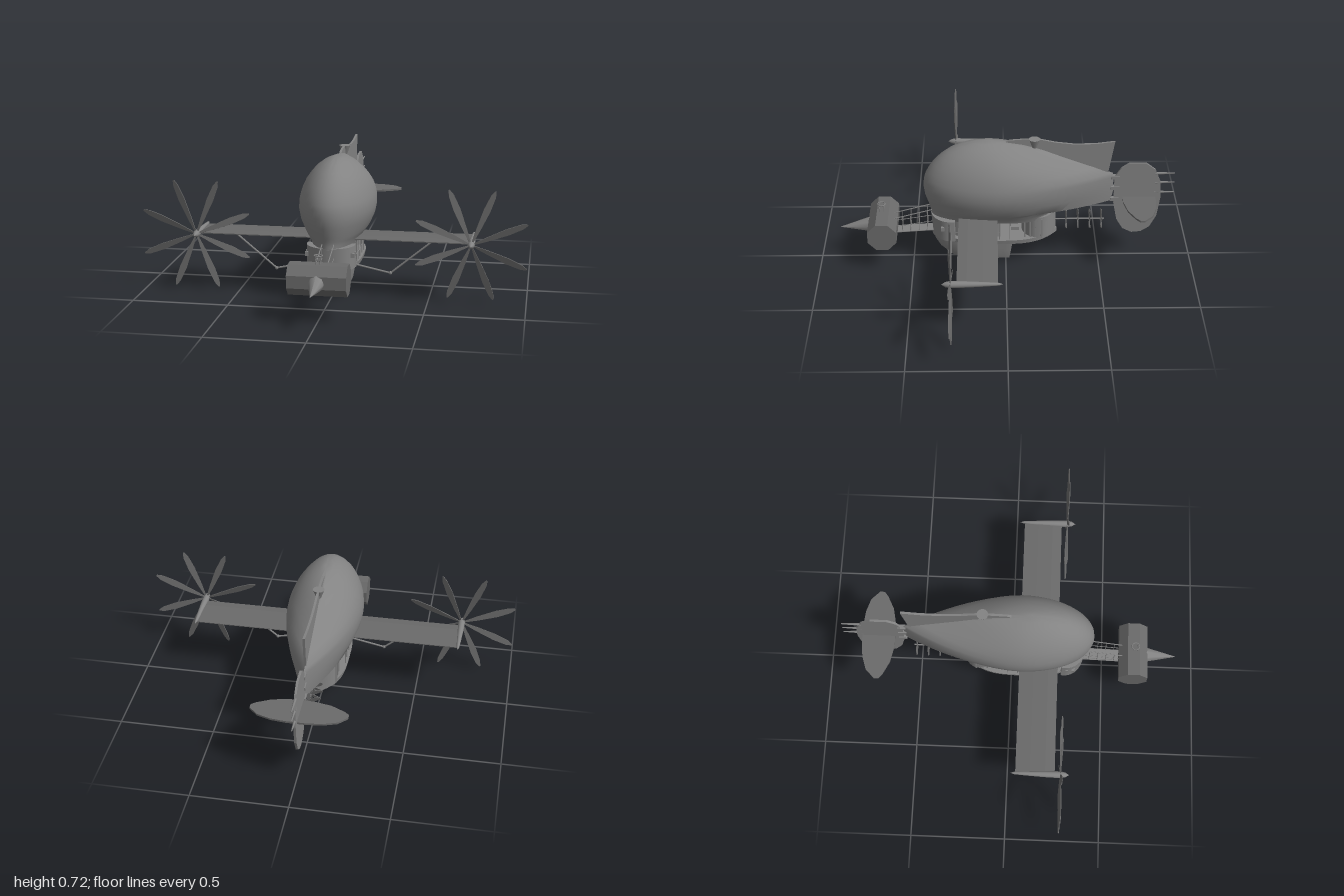
import * as THREE from 'three';
import { toCreasedNormals } from 'three/addons/utils/BufferGeometryUtils.js';

const hullGrey = new THREE.MeshStandardMaterial({ color: 0x838383 });
const darkGrey = new THREE.MeshStandardMaterial({ color: 0x6a6a6a });

function add(parent, name, geo, x = 0, y = 0, z = 0, mat = hullGrey) {
  const m = new THREE.Mesh(geo, mat);
  m.name = name;
  m.position.set(x, y, z);
  parent.add(m);
  return m;
}

function bar(parent, name, a, b, r, r2 = r) {
  const p = new THREE.Vector3(...a), q = new THREE.Vector3(...b);
  const m = add(parent, name, new THREE.CylinderGeometry(r2, r, p.distanceTo(q), 8));
  m.position.copy(p).add(q).multiplyScalar(0.5);
  m.quaternion.setFromUnitVectors(new THREE.Vector3(0, 1, 0), q.sub(p).normalize());
  return m;
}

// Plan outline at height y: elliptical nose, tail tapered by power p, or square when p is 0
function outline([y, zf, zb, w, zc, p], n) {
  return Array.from({ length: n }, (_, i) => {
    const t = (i / n) * Math.PI * 2, c = Math.cos(t), s = Math.sin(t);
    if (c >= 0) return [w * s, y, zc + (zf - zc) * c];
    if (p) return [w * Math.sign(s) * (1 - Math.pow(-c, p)), y, zc + (zc - zb) * c];
    const k = Math.min(1, -c * 1.3);
    return [k < 1 ? w * Math.sign(s) : w * s / 0.639, y, zc - (zc - zb) * k];
  });
}

// Stack of plan outlines joined bottom to top, capped at both ends
function loft(slices, n = 48, crease = 0.6) {
  const pos = [], idx = [], last = (slices.length - 1) * n;
  slices.forEach(s => outline(s, n).forEach(p => pos.push(...p)));
  for (let i = 0; i < slices.length - 1; i++)
    for (let j = 0; j < n; j++) {
      const a = i * n + j, b = i * n + (j + 1) % n;
      idx.push(a, b, b + n, a, b + n, a + n);
    }
  for (let j = 1; j < n - 1; j++) idx.push(0, j + 1, j, last, last + j, last + j + 1);
  const g = new THREE.BufferGeometry();
  g.setAttribute('position', new THREE.Float32BufferAttribute(pos, 3));
  g.setIndex(idx);
  return toCreasedNormals(g, crease);
}

// Plate in the XY plane, centred on its thickness
function plate(points, depth) {
  const shape = new THREE.Shape(points.map(p => new THREE.Vector2(...p)));
  return new THREE.ExtrudeGeometry(shape, { depth, bevelEnabled: false }).translate(0, 0, -depth / 2);
}
const sidePlate = (pts, d) => plate(pts, d).rotateY(-Math.PI / 2);
const flatPlate = (pts, d) => plate(pts, d).rotateX(Math.PI / 2);

function propeller(name, count, radius, width, twist, offset) {
  const g = new THREE.Group();
  g.name = name;
  const pts = [[0.06, 0.12], [0.3, 0.32], [0.65, 0.5], [0.9, 0.38], [1, 0.1]];
  const outlinePts = [...pts.map(([r, w]) => [r * radius, -w * width]),
    ...pts.map(([r, w]) => [r * radius, w * width]).reverse()];
  for (let i = 0; i < count; i++) {
    const arm = new THREE.Group();
    arm.name = 'bladeArm';
    arm.rotation.z = offset + (i / count) * Math.PI * 2;
    add(arm, 'blade', plate(outlinePts, 0.004), 0, 0, 0, darkGrey).rotation.x = twist;
    g.add(arm);
  }
  return g;
}

export function createModel() {
  const root = new THREE.Group();
  root.name = 'airship';

  // Balloon body, tapering to a vertical tail edge
  add(root, 'balloon', loft([
    [0.28, 0.4, -0.27, 0.125, 0.08, 4], [0.305, 0.4, -0.275, 0.135, 0.08, 4],
    [0.325, 0.404, -0.29, 0.15, 0.07, 3.5], [0.338, 0.408, -0.34, 0.16, 0.06, 2.6],
    [0.345, 0.41, -0.56, 0.165, 0.05, 1.8], [0.4, 0.428, -0.57, 0.19, 0.05, 1.72],
    [0.45, 0.435, -0.57, 0.2, 0.05, 1.72], [0.49, 0.432, -0.57, 0.198, 0.05, 1.72],
    [0.515, 0.425, -0.565, 0.193, 0.05, 1.72], [0.55, 0.408, -0.48, 0.182, 0.05, 1.75],
    [0.59, 0.38, -0.375, 0.163, 0.06, 1.8], [0.625, 0.345, -0.285, 0.138, 0.07, 1.8],
    [0.66, 0.3, -0.2, 0.108, 0.08, 1.8], [0.69, 0.235, -0.1, 0.068, 0.09, 1.9],
    [0.707, 0.17, 0, 0.033, 0.1, 2], [0.714, 0.11, 0.07, 0.008, 0.1, 2]], 64, 0.9));

  // Gondola: closed nose, cabin, rear drum, deck and keel
  add(root, 'gondolaNose', loft([[0.17, 0.39, 0.27, 0.125, 0.29, 0], [0.29, 0.4, 0.27, 0.125, 0.29, 0]]));
  add(root, 'cabin', loft([[0.17, 0.32, 0.03, 0.095, 0.2, 0], [0.3, 0.32, 0.03, 0.095, 0.2, 0]]));
  add(root, 'rearDrum', loft([[0.17, -0.085, -0.268, 0.1, -0.16, 3], [0.3, -0.085, -0.268, 0.1, -0.16, 3]]));
  add(root, 'deck', loft([[0.153, 0.395, -0.275, 0.13, 0.1, 4], [0.178, 0.395, -0.275, 0.135, 0.1, 4]]));
  add(root, 'deckUnderside', new THREE.SphereGeometry(1, 20, 12).scale(0.05, 0.018, 0.07), 0, 0.155, -0.14);
  add(root, 'deckLocker', new THREE.BoxGeometry(0.06, 0.02, 0.045), 0, 0.188, -0.05);
  add(root, 'keel', loft([
    [0.022, 0.27, -0.02, 0.066, 0.15, 0], [0.035, 0.31, -0.021, 0.07, 0.15, 0],
    [0.075, 0.355, -0.027, 0.076, 0.15, 0], [0.12, 0.38, -0.034, 0.082, 0.15, 0],
    [0.16, 0.39, -0.04, 0.087, 0.15, 0]]));
  add(root, 'keelSkid', new THREE.SphereGeometry(1, 16, 10).scale(0.015, 0.02, 0.06), 0, 0.02, 0.24);

  for (const s of [-1, 1]) {
    // Balcony posts and handrail along the deck edge
    for (const z of [0.25, 0.21, 0.165, 0.1, 0.035, -0.02])
      bar(root, 'balconyPost', [s * 0.122, 0.17, z], [s * 0.122, 0.295, z], 0.002);
    bar(root, 'handrail', [s * 0.122, 0.225, 0.29], [s * 0.122, 0.225, 0.03], 0.002);
    for (let i = 0; i < 4; i++)
      add(root, 'drumPilaster', new THREE.BoxGeometry(0.006, 0.12, 0.008), s * 0.098, 0.23, -0.1 - i * 0.03);
    for (let i = 0; i < 2; i++)
      add(root, 'window', new THREE.BoxGeometry(0.02, 0.022, 0.016), s * 0.118, 0.245, 0.335 - i * 0.035);

    // Cambered wing, bracing strut and engine
    const wing = new THREE.Group();
    wing.name = s > 0 ? 'leftWing' : 'rightWing';
    root.add(wing);
    add(wing, 'wingPanel', sidePlate([[0.25, 0.305], [0.25, 0.31], [0.2, 0.315], [0.12, 0.314], [0.045, 0.307],
      [0.045, 0.303], [0.12, 0.307], [0.2, 0.306]], 0.62), s * 0.405, 0, 0, darkGrey);
    bar(wing, 'outerStrut', [s * 0.51, 0.305, 0.23], [s * 0.3, 0.13, 0.23], 0.005);
    bar(wing, 'innerStrut', [s * 0.3, 0.13, 0.23], [s * 0.12, 0.168, 0.23], 0.005);
    add(wing, 'strutJoint', new THREE.SphereGeometry(0.009, 10, 8), s * 0.3, 0.13, 0.23);
    const nacelle = [[0, 0.02], [0.007, 0.04], [0.011, 0.1], [0.016, 0.2], [0.018, 0.28], [0.013, 0.305], [0, 0.325]];
    add(wing, 'engine', new THREE.LatheGeometry(nacelle.map(p => new THREE.Vector2(...p)), 16).rotateX(Math.PI / 2), s * 0.715, 0.31, 0);
    const prop = propeller('wingPropeller', 8, 0.305, 0.036, s * 0.25, Math.PI / 8);
    prop.position.set(s * 0.715, 0.31, 0.28);
    wing.add(prop);

    // Bridge truss out to the forward drum
    bar(root, 'bridgeUpperRail', [s * 0.03, 0.312, 0.39], [s * 0.03, 0.255, 0.6], 0.003);
    bar(root, 'bridgeLowerRail', [s * 0.03, 0.185, 0.38], [s * 0.03, 0.17, 0.6], 0.004);
    bar(root, 'bridgeMidRail', [s * 0.03, 0.24, 0.39], [s * 0.03, 0.205, 0.6], 0.002);
    for (let i = 0; i < 4; i++) {
      const z = 0.42 + i * 0.045;
      bar(root, 'bridgePost', [s * 0.03, 0.183 - i * 0.003, z], [s * 0.03, 0.304 - i * 0.0122, z], 0.002);
    }
    // Slender legs of the lookout ring on the drum
    for (const dz of [-1, 1])
      bar(root, 'lookoutLeg', [s * 0.008, 0.28, 0.664 + dz * 0.01], [s * 0.014, 0.33, 0.664 + dz * 0.014], 0.002);
  }
  add(root, 'lookoutRing', new THREE.TorusGeometry(0.02, 0.003, 6, 20).rotateX(Math.PI / 2), 0, 0.33, 0.664);
  for (let i = 0; i < 4; i++)
    add(root, 'bridgeRung', new THREE.BoxGeometry(0.06, 0.006, 0.008), 0, 0.182 - i * 0.003, 0.42 + i * 0.045);
  add(root, 'bridgeFloor', new THREE.BoxGeometry(0.06, 0.004, 0.22), 0, 0.178, 0.49).rotation.x = 0.068;

  // Forward drum with nose spike
  const drum = new THREE.CylinderGeometry(0.083, 0.083, 0.295, 8).rotateY(Math.PI / 8).rotateZ(Math.PI / 2);
  add(root, 'forwardDrum', toCreasedNormals(drum, 0.3), 0, 0.21, 0.658, darkGrey);
  bar(root, 'noseSpike', [0, 0.206, 0.72], [0, 0.187, 0.89], 0.043, 0.001);

  // Dorsal sail and its small funnel
  add(root, 'dorsalSail', sidePlate([[0.02, 0.695], [-0.02, 0.716], [-0.1, 0.722], [-0.18, 0.72], [-0.26, 0.702],
    [-0.36, 0.69], [-0.47, 0.692], [-0.57, 0.705], [-0.54, 0.52], [-0.35, 0.57], [-0.15, 0.65]], 0.012));
  add(root, 'funnel', new THREE.CylinderGeometry(0.03, 0.012, 0.05, 12), 0, 0.696, -0.15);

  // Tail: vertical fin, elevator, hinges and trailing rods
  add(root, 'tailFin', sidePlate([[-0.575, 0.49], [-0.61, 0.545], [-0.65, 0.573], [-0.74, 0.573], [-0.79, 0.535],
    [-0.82, 0.46], [-0.825, 0.36], [-0.81, 0.25], [-0.775, 0.18], [-0.73, 0.15], [-0.68, 0.145],
    [-0.63, 0.17], [-0.595, 0.23], [-0.575, 0.33]], 0.012));
  const half = [[0.06, -0.622], [0.15, -0.64], [0.22, -0.675], [0.245, -0.695], [0.245, -0.72], [0.2, -0.765], [0.13, -0.788], [0.05, -0.797]];
  add(root, 'elevator', flatPlate([...half, ...half.map(([x, z]) => [-x, z]).reverse()], 0.01), 0, 0.365, 0, darkGrey);
  for (const y of [0.49, 0.425, 0.355])
    add(root, 'tailHinge', new THREE.BoxGeometry(0.024, 0.018, 0.045), 0, y, -0.58);
  for (const y of [0.51, 0.455, 0.395])
    bar(root, 'tailRod', [0, y, -0.79], [0, y, -0.895], 0.008, 0.003);

  // Rear drive shaft with a row of small propellers
  bar(root, 'driveShaft', [0, 0.23, -0.25], [0, 0.23, -0.53], 0.004);
  for (let i = 0; i < 4; i++) {
    const p = propeller('rearPropeller', 6, 0.058, 0.022, 0.2, Math.PI / 6);
    p.position.set(0, 0.23, -0.325 - i * 0.063);
    root.add(p);
  }
  return root;
}
